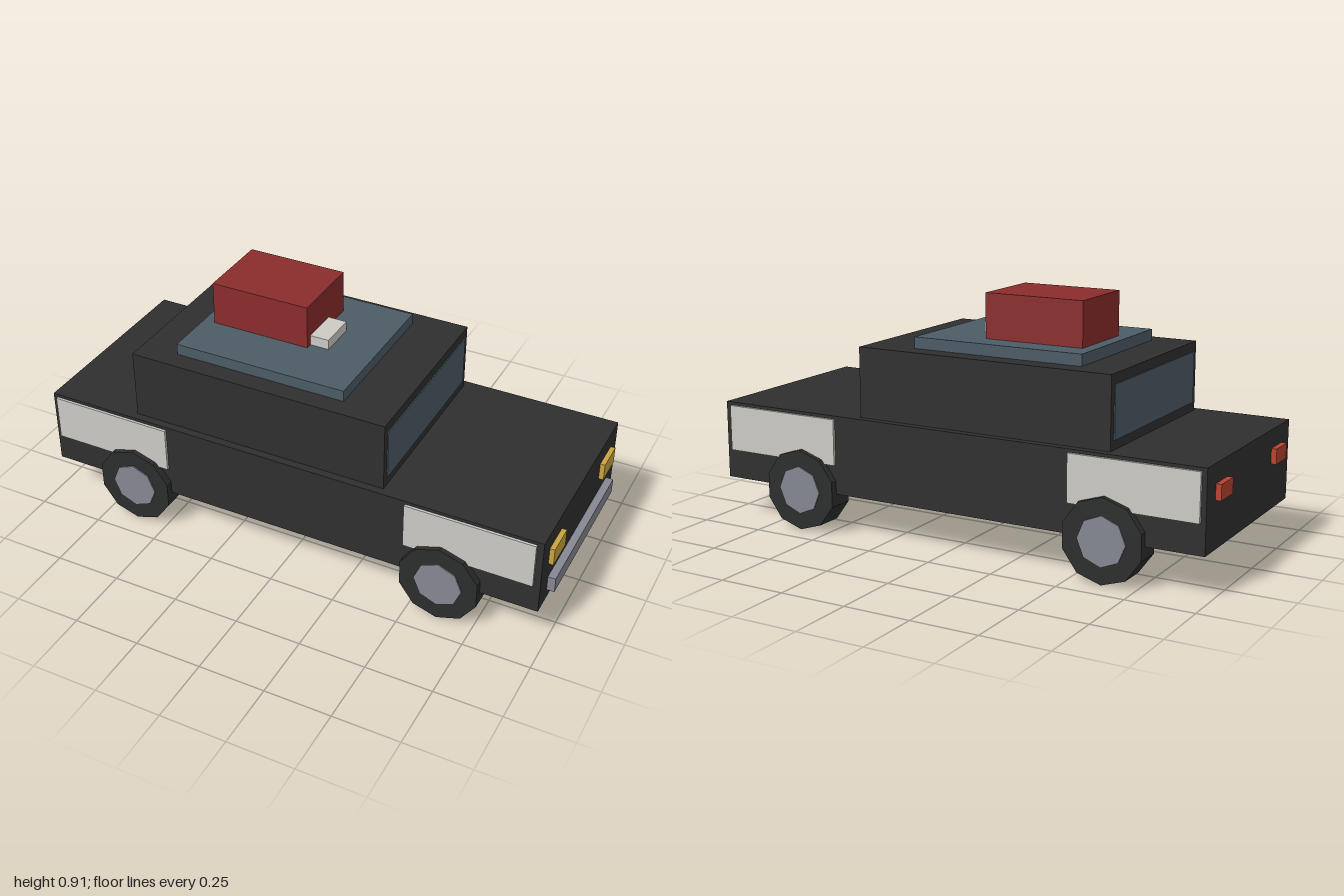
import * as THREE from 'three';

const mat = (name, color) => {
  const m = new THREE.MeshStandardMaterial({ color });
  m.name = name;
  return m;
};

export function createModel() {
  const car = new THREE.Group();
  car.name = 'car';

  const black = mat('body black', 0x2f2f2f);
  const rubber = mat('tyre black', 0x2c2d2d);
  const white = mat('off white', 0xcccac5);
  const glass = mat('slate blue', 0x4c5b65);
  const red = mat('dark red', 0x8a2c2c);
  const amber = mat('headlight amber', 0xcaa440);
  const tail = mat('tail light red', 0xb8432f);
  const metal = mat('grey metal', 0x858792);

  // Box given by its extents on each axis
  const box = (name, material, [x0, x1], [y0, y1], [z0, z1]) => {
    const mesh = new THREE.Mesh(new THREE.BoxGeometry(x1 - x0, y1 - y0, z1 - z0), material);
    mesh.position.set((x0 + x1) / 2, (y0 + y1) / 2, (z0 + z1) / 2);
    mesh.name = name;
    car.add(mesh);
  };

  // Body and cabin
  box('body', black, [-0.98, 0.972], [0.15, 0.445], [-0.387, 0.387]);
  box('cabin', black, [-0.625, 0.375], [0.445, 0.705], [-0.357, 0.357]);

  // Windscreen and rear window
  box('windscreen', glass, [0.373, 0.379], [0.479, 0.669], [-0.333, 0.333]);
  box('rearWindow', glass, [-0.629, -0.623], [0.479, 0.669], [-0.333, 0.333]);

  // Roof plate with its load
  box('roofPlate', glass, [-0.48, 0.185], [0.705, 0.747], [-0.285, 0.285]);
  box('roofBox', red, [-0.435, -0.053], [0.747, 0.911], [-0.19, 0.096]);
  box('roofStep', white, [-0.053, 0.019], [0.747, 0.785], [-0.071, 0.072]);

  // Front bumper
  box('frontBumper', metal, [0.972, 1], [0.188, 0.246], [-0.31, 0.31]);

  const tyreGeometry = new THREE.CylinderGeometry(0.1525, 0.1525, 0.103, 10).toNonIndexed();
  const hubGeometry = new THREE.CylinderGeometry(0.09, 0.09, 0.112, 8).toNonIndexed();
  for (const g of [tyreGeometry, hubGeometry]) {
    g.rotateX(Math.PI / 2);
    g.computeVertexNormals();
  }

  for (const s of [1, -1]) {
    const side = s > 0 ? 'right' : 'left';
    const span = (a, b) => (s > 0 ? [a, b] : [-b, -a]);

    // Lights
    box(side + 'Headlight', amber, [0.972, 0.99], [0.313, 0.379], span(0.203, 0.322));
    box(side + 'TailLight', tail, [-1, -0.98], [0.32, 0.376], span(0.209, 0.312));

    // Side panels over the wheels
    box(side + 'RearPanel', white, [-0.962, -0.485], [0.26, 0.433], span(0.387, 0.397));
    box(side + 'FrontPanel', white, [0.47, 0.948], [0.26, 0.433], span(0.387, 0.397));

    // Wheels
    for (const [end, x] of [['Rear', -0.625], ['Front', 0.615]]) {
      const wheel = new THREE.Group();
      wheel.name = side + end + 'Wheel';
      const tyre = new THREE.Mesh(tyreGeometry, rubber);
      tyre.name = 'tyre';
      const hub = new THREE.Mesh(hubGeometry, metal);
      hub.name = 'hub';
      wheel.add(tyre, hub);
      wheel.position.set(x, 0.1525, s * 0.3635);
      car.add(wheel);
    }
  }
  return car;
}
